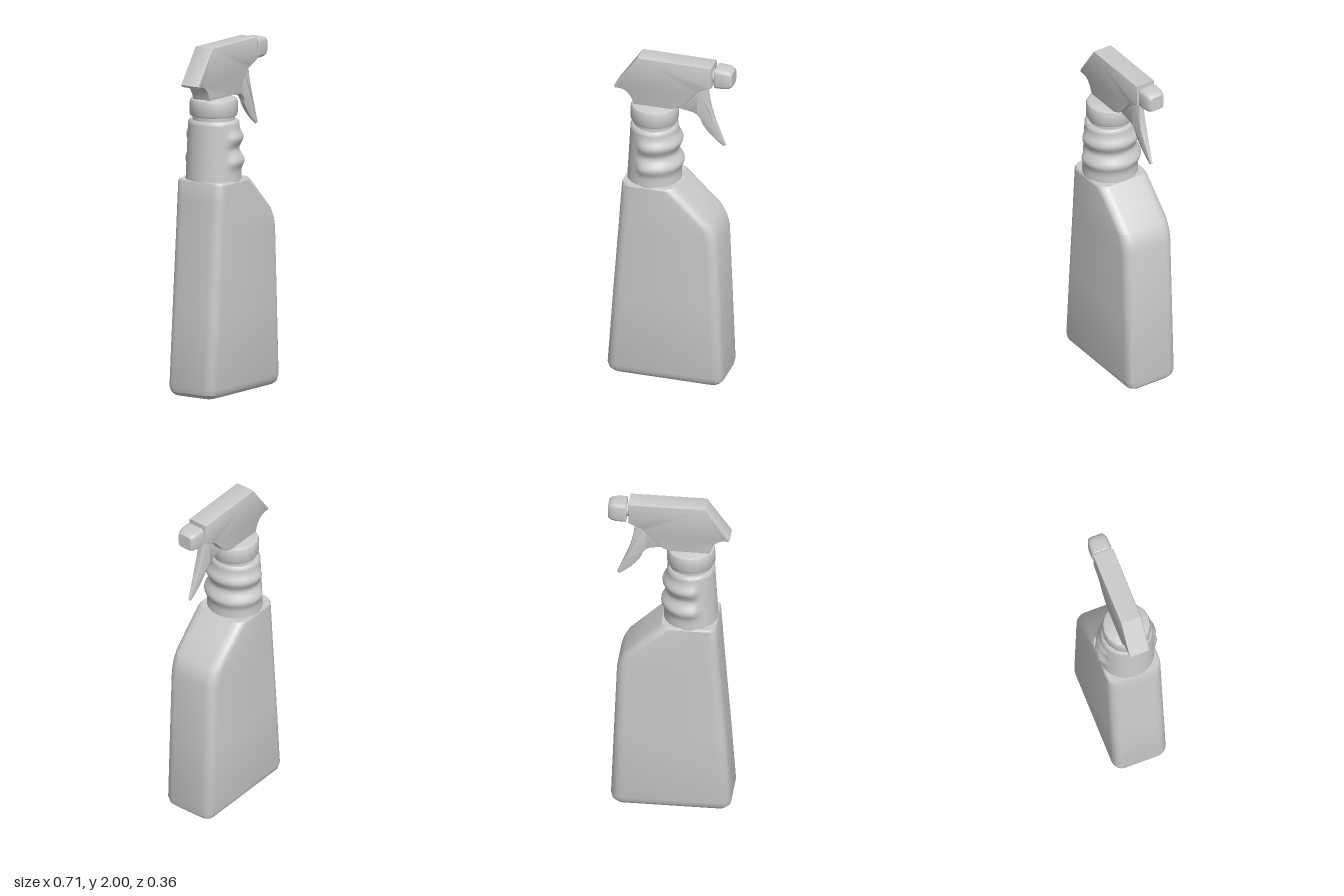
import * as THREE from 'three';
import { toCreasedNormals } from 'three/addons/utils/BufferGeometryUtils.js';

const material = new THREE.MeshStandardMaterial({ color: 0xcccccc });
const AXIS_X = -0.113; // centre line of neck and collar
const HEAD_Z = -0.006; // spray head sits slightly off centre

function part(name, geometry, crease = 0.6) {
  const mesh = new THREE.Mesh(toCreasedNormals(geometry, crease), material);
  mesh.name = name;
  return mesh;
}

// Skin a stack of equal-length rings (counter-clockwise from above), capped at both ends
function loft(rings) {
  const n = rings[0].length, pos = [], idx = [];
  rings.forEach(r => r.forEach(p => pos.push(p.x, p.y, p.z)));
  for (let i = 0; i < rings.length - 1; i++) {
    for (let j = 0; j < n; j++) {
      const k = (j + 1) % n, a = i * n + j, b = i * n + k;
      idx.push(a, b, b + n, a, b + n, a + n);
    }
  }
  [0, rings.length - 1].forEach((r, end) => {
    const c = new THREE.Vector3();
    rings[r].forEach(p => c.addScaledVector(p, 1 / n));
    const ci = pos.length / 3;
    pos.push(c.x, c.y, c.z);
    for (let j = 0; j < n; j++) {
      const a = r * n + j, b = r * n + (j + 1) % n;
      idx.push(ci, end ? a : b, end ? b : a);
    }
  });
  const g = new THREE.BufferGeometry();
  g.setAttribute('position', new THREE.Float32BufferAttribute(pos, 3));
  g.setIndex(idx);
  return g;
}

// Horizontal rounded rectangle between x0 and x1, half depth hz, corner radius r
function roundedRing(y, x0, x1, hz, r, steps = 4) {
  const pts = [], cx = (x0 + x1) / 2, hx = (x1 - x0) / 2;
  for (let q = 0; q < 4; q++) {
    const sx = q === 0 || q === 3 ? 1 : -1, sz = q < 2 ? -1 : 1;
    for (let s = 0; s <= steps; s++) {
      const a = (q + s / steps) * Math.PI / 2;
      pts.push(new THREE.Vector3(cx + sx * (hx - r) + r * Math.cos(a), y, sz * (hz - r) - r * Math.sin(a)));
    }
  }
  return pts;
}

function bottle() {
  const rings = [
    // y, left, right, half depth, corner radius
    [0, -0.30, 0.275, 0.11, 0.03],
    [0.008, -0.33, 0.305, 0.137, 0.045],
    [0.028, -0.35, 0.324, 0.154, 0.055],
    [0.06, -0.357, 0.331, 0.162, 0.058],
    [0.5, -0.326, 0.314, 0.162, 0.058],
    [0.92, -0.294, 0.297, 0.162, 0.058],
    [0.975, -0.29, 0.283, 0.162, 0.058],
    [1.03, -0.286, 0.255, 0.162, 0.058],
    [1.13, -0.279, 0.152, 0.162, 0.058],
    [1.225, -0.272, 0.055, 0.162, 0.058],
    [1.237, -0.268, 0.043, 0.155, 0.055],
  ].map(r => roundedRing(...r));
  return part('bottle', loft(rings), 0.5);
}

// Tapered neck with two finger ribs that fade out toward the back
function neck() {
  const rings = [], bump = (y, c, w) => Math.exp(-(((y - c) / w) ** 2));
  for (let i = 0; i <= 32; i++) {
    const t = i / 32, y = 1.23 + 0.335 * t, ring = [];
    const rx = 0.155 - 0.019 * t, rz = 0.161 - 0.012 * t;
    const rib = 0.021 * (bump(y, 1.48, 0.036) + bump(y, 1.345, 0.036)) - 0.007 * bump(y, 1.413, 0.025);
    for (let j = 0; j < 40; j++) {
      const a = j / 40 * Math.PI * 2;
      const d = rib * THREE.MathUtils.smoothstep(Math.cos(a), -0.45, -0.2);
      ring.push(new THREE.Vector3(AXIS_X + (rx + d) * Math.cos(a), y, -(rz + d) * Math.sin(a)));
    }
    rings.push(ring);
  }
  const top = rings[rings.length - 1];
  rings.push(top.map(p => new THREE.Vector3(AXIS_X + (p.x - AXIS_X) * 0.92, 1.578, p.z * 0.92)));
  return part('neck', loft(rings), 0.7);
}

function collar() {
  const profile = [
    [0, 1.56], [0.122, 1.56], [0.122, 1.598], [0.132, 1.6], [0.138, 1.612],
    [0.138, 1.678], [0.132, 1.695], [0.118, 1.702], [0, 1.702],
  ].map(p => new THREE.Vector2(...p));
  const mesh = part('collar', new THREE.LatheGeometry(profile, 16));
  mesh.position.x = AXIS_X;
  return mesh;
}

// Side profile extruded across z
function sprayHead() {
  const s = new THREE.Shape();
  s.moveTo(-0.2, 2);
  s.lineTo(-0.34, 1.798);
  s.lineTo(-0.333, 1.786);
  s.quadraticCurveTo(-0.25, 1.80, -0.225, 1.7);
  s.lineTo(0.005, 1.7);
  s.bezierCurveTo(0.12, 1.74, 0.10, 1.82, 0.2, 1.855);
  s.lineTo(0.237, 1.872);
  s.lineTo(0.237, 2);
  s.closePath();
  const b = 0.008;
  const g = new THREE.ExtrudeGeometry(s, {
    depth: 0.122 - 2 * b, bevelThickness: b, bevelSize: b, bevelOffset: -b, bevelSegments: 2, curveSegments: 8,
  });
  g.translate(0, 0, HEAD_Z - 0.061 + b);
  return part('sprayHead', g, 0.7);
}

// Thin lever, narrowed toward the tip and the pivot
function trigger() {
  const s = new THREE.Shape();
  s.moveTo(0.205, 1.87);
  s.lineTo(0.14, 1.86);
  s.lineTo(0.03, 1.75);
  s.lineTo(0.01, 1.7);
  s.lineTo(0.12, 1.682);
  s.quadraticCurveTo(0.162, 1.665, 0.168, 1.62);
  s.quadraticCurveTo(0.215, 1.54, 0.295, 1.487);
  s.lineTo(0.31, 1.497);
  s.quadraticCurveTo(0.285, 1.55, 0.262, 1.61);
  s.quadraticCurveTo(0.21, 1.72, 0.205, 1.87);
  const g = new THREE.ExtrudeGeometry(s, {
    depth: 0.024, bevelThickness: 0.01, bevelSize: 0.008, bevelOffset: -0.008, bevelSegments: 2, curveSegments: 8,
  });
  g.translate(0, 0, -0.012);
  const p = g.attributes.position;
  for (let i = 0; i < p.count; i++) {
    const y = p.getY(i);
    const k = y < 1.68 ? THREE.MathUtils.mapLinear(y, 1.487, 1.68, 0.25, 1) : THREE.MathUtils.mapLinear(y, 1.68, 1.87, 1, 0.65);
    p.setZ(i, p.getZ(i) * k);
  }
  return part('trigger', g);
}

// Rounded square cap on a short stem, pointing along +x
function nozzle() {
  const group = new THREE.Group();
  group.name = 'nozzle';
  const stem = part('nozzleStem', new THREE.CylinderGeometry(0.04, 0.04, 0.06, 16));
  stem.position.y = 0.24;
  const cap = part('nozzleCap', loft([
    [0.252, 0.056, 0.02], [0.256, 0.059, 0.022], [0.31, 0.058, 0.022],
    [0.335, 0.054, 0.022], [0.352, 0.046, 0.02], [0.355, 0.043, 0.02],
  ].map(([y, h, r]) => roundedRing(y, -h, h, h, r, 3))), 0.6);
  group.add(stem, cap);
  group.rotation.z = -Math.PI / 2;
  group.position.set(0, 1.931, HEAD_Z);
  return group;
}

export function createModel() {
  const model = new THREE.Group();
  model.name = 'sprayBottle';
  model.add(bottle(), neck(), collar(), sprayHead(), trigger(), nozzle());
  return model;
}
